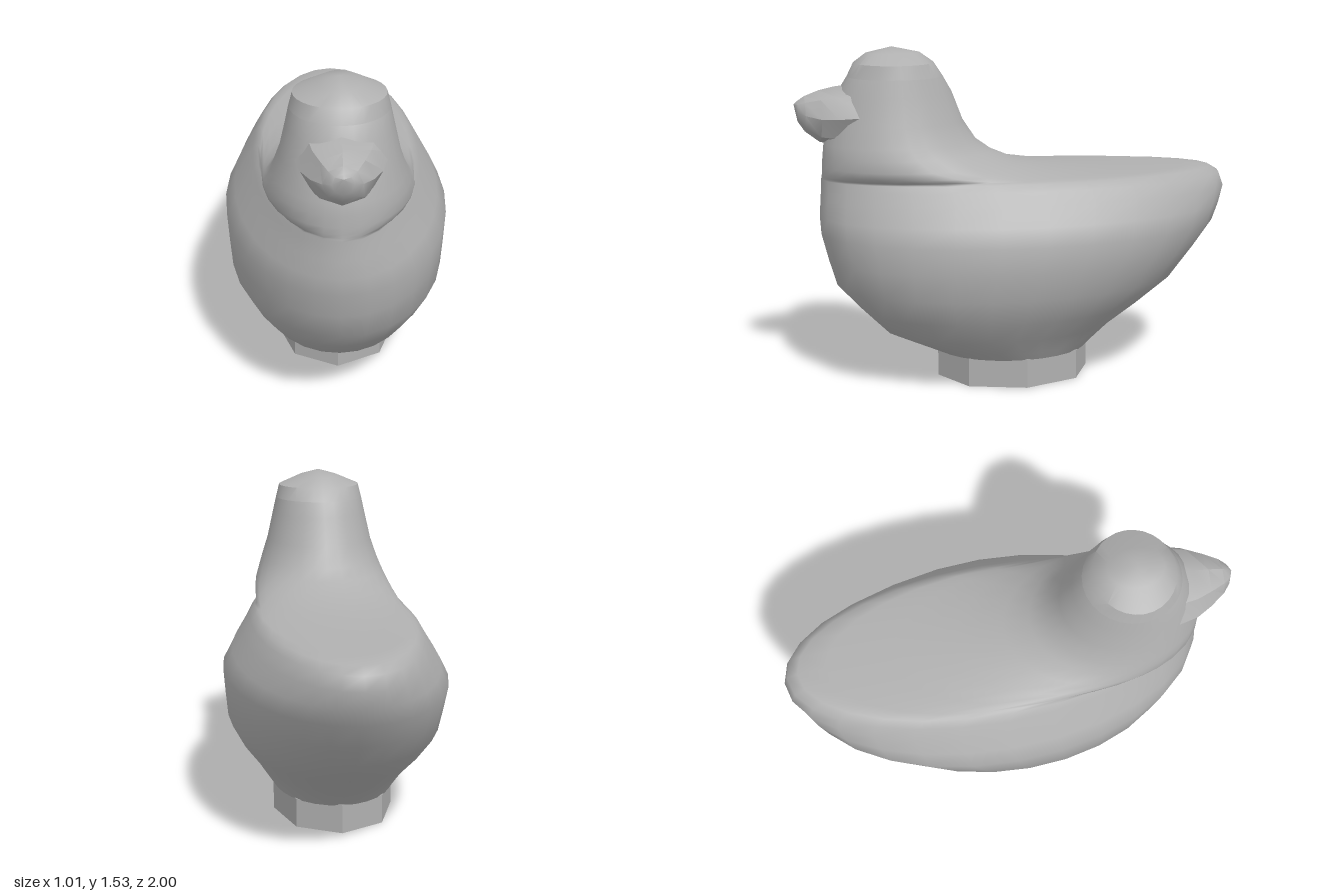
import * as THREE from 'three';
import { toCreasedNormals } from 'three/addons/utils/BufferGeometryUtils.js';

// Stack of oval rings: each level is [height, back z, front z, half width]
function loft(levels, sides) {
  const pos = [], index = [];
  for (const [y, back, front, w] of levels) {
    const mid = (back + front) / 2, len = (front - back) / 2;
    for (let j = 0; j < sides; j++) {
      const a = (j / sides) * Math.PI * 2;
      pos.push(w * Math.sin(a), y, mid + len * Math.cos(a));
    }
  }
  for (let i = 0; i < levels.length - 1; i++) {
    for (let j = 0; j < sides; j++) {
      const k = (j + 1) % sides;
      const a = i * sides + j, b = i * sides + k;
      index.push(a, b, b + sides, a, b + sides, a + sides);
    }
  }
  const geo = new THREE.BufferGeometry();
  geo.setAttribute('position', new THREE.Float32BufferAttribute(pos, 3));
  geo.setIndex(index);
  geo.computeVertexNormals();
  return geo;
}

export function createModel() {
  const group = new THREE.Group();
  const grey = new THREE.MeshStandardMaterial({ color: 0xb0b0b0 });
  grey.name = 'grey';
  const add = (name, geo) => {
    const mesh = new THREE.Mesh(geo, grey);
    mesh.name = name;
    group.add(mesh);
    return mesh;
  };

  // Bowl-shaped body with a raised tail, flat back and neck
  const bodyLevels = [
    [0.13, -0.33, 0.37, 0.275],
    [0.17, -0.37, 0.46, 0.305],
    [0.24, -0.45, 0.62, 0.355],
    [0.34, -0.59, 0.72, 0.425],
    [0.46, -0.75, 0.83, 0.485],
    [0.58, -0.85, 0.865, 0.497],
    [0.7, -0.94, 0.895, 0.507],
    [0.78, -0.975, 0.9, 0.465],
    [0.86, -1.0, 0.895, 0.415],
    [0.92, -0.98, 0.89, 0.38],
    [0.95, -0.93, 0.89, 0.355],
    [0.958, -0.8, 0.888, 0.34],
    [0.963, -0.5, 0.887, 0.335],
    [0.98, -0.22, 0.885, 0.33],
    [1.01, 0.0, 0.885, 0.32],
    [1.06, 0.12, 0.88, 0.3],
    [1.11, 0.19, 0.875, 0.282],
    [1.2, 0.25, 0.85, 0.252],
    [1.33, 0.3, 0.81, 0.223],
    [1.4, 0.34, 0.765, 0.208],
  ];
  add('body', loft(bodyLevels, 28));

  // Faceted crown of the head
  const crownLevels = [
    [1.4, 0.34, 0.765, 0.208],
    [1.46, 0.38, 0.735, 0.193],
    [1.503, 0.44, 0.68, 0.09],
    [1.53, 0.565, 0.565, 0],
  ];
  add('crown', toCreasedNormals(loft(crownLevels, 28), 0.6));

  // Short beak, lofted forward: [z, -top, -bottom, half width]
  const beakLevels = [
    [0.68, -1.375, -1.11, 0.2],
    [0.82, -1.36, -1.105, 0.165],
    [0.89, -1.345, -1.115, 0.125],
    [0.955, -1.32, -1.165, 0.08],
    [0.985, -1.3, -1.21, 0.045],
    [1.0, -1.285, -1.285, 0],
  ];
  const beak = loft(beakLevels, 8);
  beak.rotateX(Math.PI / 2);
  add('beak', toCreasedNormals(beak, 0.7));

  // Eight-sided foot
  const foot = new THREE.CylinderGeometry(1, 1, 0.135, 8);
  foot.scale(0.28, 1, 0.357);
  foot.translate(0, 0.0675, 0.015);
  add('base', toCreasedNormals(foot, 0.5));

  return group;
}
